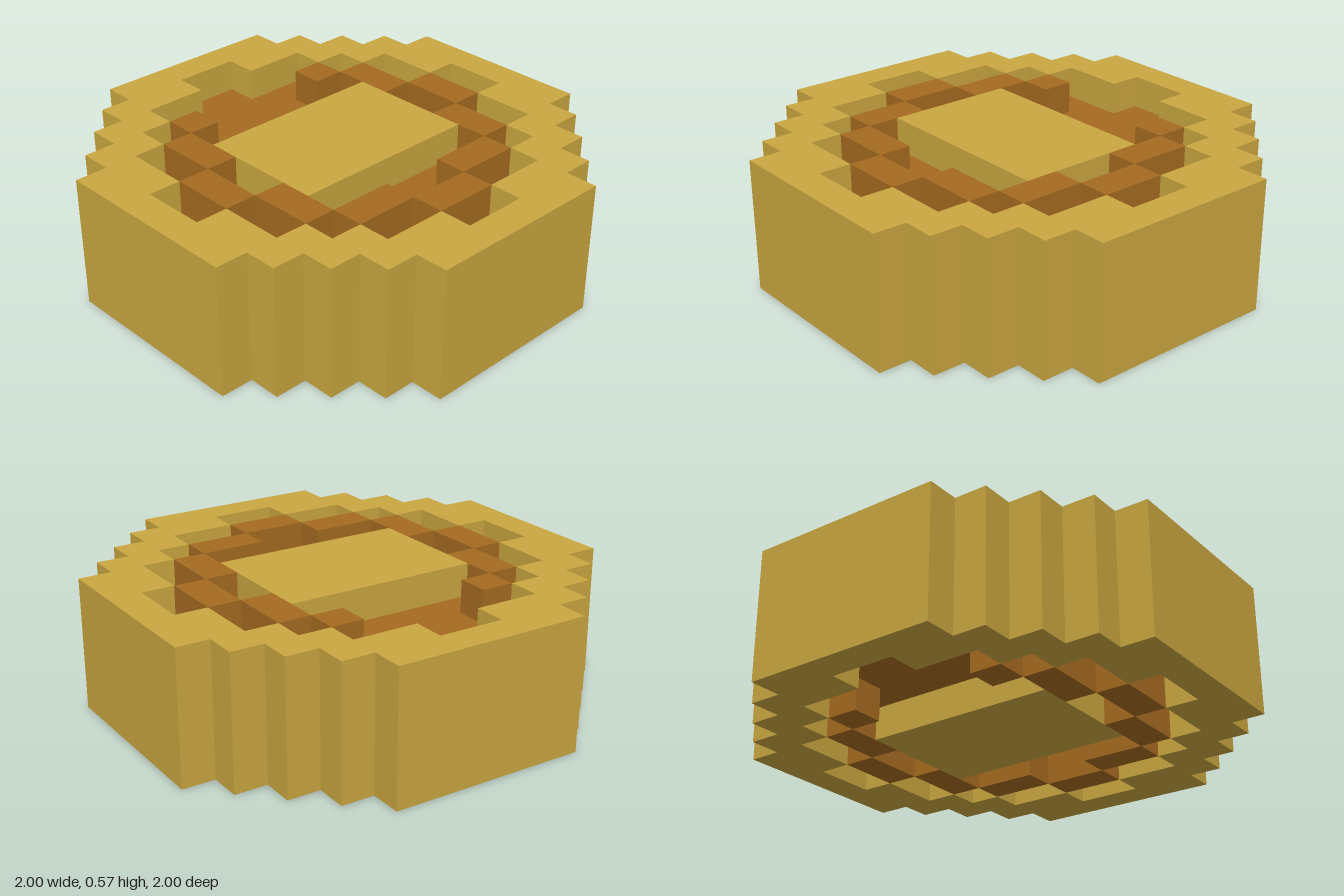
import * as THREE from 'three';

const U = 1 / 7; // one block

// Mirrors a stepped quarter outline (from +x towards +y) into a closed loop.
function loop(quarter) {
  const flip = (sx, sy) => quarter.map(([x, y]) => new THREE.Vector2(x * sx * U, y * sy * U));
  return [...flip(1, 1), ...flip(-1, 1).reverse(), ...flip(-1, -1), ...flip(1, -1).reverse()];
}

// Extrudes a shape upwards from block level y0 to y1.
function slab(shape, y0, y1) {
  const g = new THREE.ExtrudeGeometry(shape, { depth: (y1 - y0) * U, bevelEnabled: false });
  return g.rotateX(-Math.PI / 2).translate(0, y0 * U, 0);
}

export function createModel() {
  const gold = new THREE.MeshStandardMaterial({ color: 0xc9a640 });
  gold.name = 'gold';
  const bronze = new THREE.MeshStandardMaterial({ color: 0xa56b20 });
  bronze.name = 'bronze';

  const model = new THREE.Group();
  model.name = 'blockCoin';
  const add = (name, geometry, material, parent = model) => {
    const mesh = new THREE.Mesh(geometry, material);
    mesh.name = name;
    parent.add(mesh);
  };
  // Box from block coordinates: x0..x1, z0..z1, one block high from y0
  const block = (x0, x1, z0, z1, y0) =>
    new THREE.BoxGeometry((x1 - x0) * U, U, (z1 - z0) * U)
      .translate((x0 + x1) / 2 * U, (y0 + 0.5) * U, (z0 + z1) / 2 * U);

  const outer = [[7, 3], [6, 3], [6, 4], [5, 4], [5, 5], [4, 5], [4, 6], [3, 6], [3, 7]];
  const inner = [[6, 1], [5, 1], [5, 3], [4, 3], [4, 4], [3, 4], [3, 5], [1, 5], [1, 6]];

  // Full-height rim with a stepped opening
  const rim = new THREE.Shape(loop(outer));
  rim.holes.push(new THREE.Path(loop(inner)));
  add('rim', slab(rim, 0, 4), gold);

  // Recessed core that forms the floor on both faces
  add('core', slab(new THREE.Shape(loop(inner)), 1, 3), bronze);

  // Raised centre and broken block ring, on the top and the bottom
  for (const [side, y] of [['top', 3], ['bottom', 0]]) {
    const face = new THREE.Group();
    face.name = side + 'Face';
    model.add(face);
    add('centrePlate', block(-3, 3, -2, 2, y), gold, face);
    add('ringFront', block(-1, 1, 4, 5, y), bronze, face);
    const half = [[2, 3, -4, -3], [3, 4, -3, -1], [4, 5, -1, 1], [3, 4, 1, 3], [1, 3, 3, 4]];
    for (const [x0, x1, z0, z1] of half) {
      add('ringLeft', block(x0, x1, z0, z1, y), bronze, face);
      add('ringRight', block(-x1, -x0, z0, z1, y), bronze, face);
    }
  }
  return model;
}
